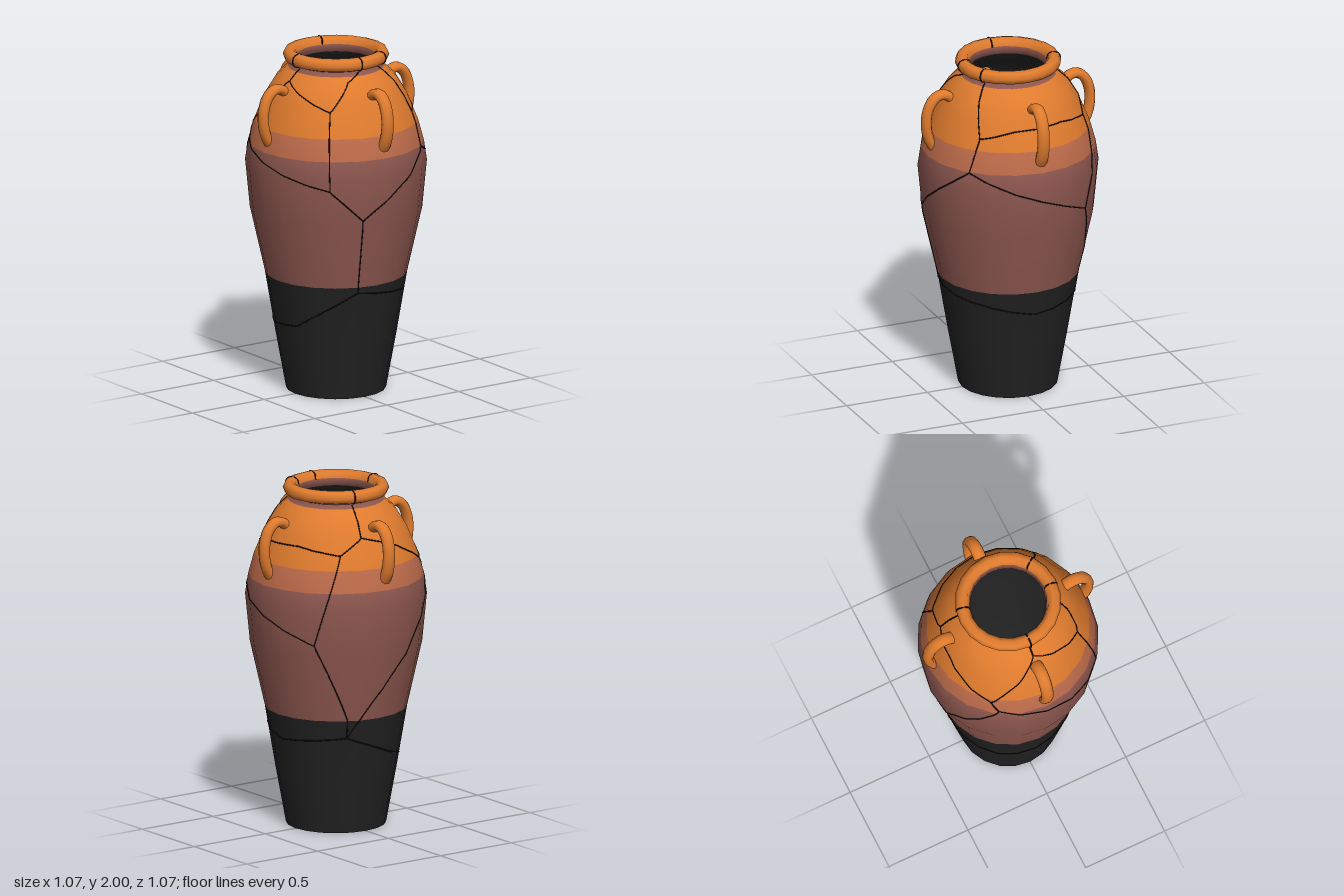
import * as THREE from 'three';

const SIDES = 20;
const mat = (name, color, side = THREE.FrontSide) => {
  const m = new THREE.MeshStandardMaterial({ color, side });
  m.name = name;
  return m;
};

// Profile rows: radius, height, material of the band that starts at this row
// (0 black glaze, 1 plum clay, 2 rust band, 3 orange clay)
const OUTER = [
  [0.285, 0, 0], [0.345, 0.33, 0], [0.405, 0.685, 1], [0.49, 1.06, 1], [0.517, 1.34, 1],
  [0.5, 1.455, 2], [0.466, 1.58, 3], [0.4, 1.74, 3], [0.345, 1.83, 3], [0.275, 1.895, 1],
  [0.245, 1.915, 1],
];
const RIM = [
  [0.262, 1.922, 3], [0.29, 1.931, 3], [0.303, 1.96, 3], [0.29, 1.99, 3], [0.258, 2, 3],
  [0.232, 1.985, 3], [0.224, 1.955, 1],
];
const INNER = [
  [0.215, 1.915, 0], [0.3, 1.83, 0], [0.37, 1.73, 0], [0.45, 1.52, 0], [0.485, 1.34, 0],
  [0.46, 1.06, 0], [0.375, 0.685, 0], [0.255, 0.04, 0], [0, 0.04, 0],
];

// Single smooth lathe whose faces are regrouped band by band
function bodyGeometry() {
  const rows = [...OUTER, ...RIM, ...INNER];
  const n = rows.length;
  const geo = new THREE.LatheGeometry(rows.map(([r, y]) => new THREE.Vector2(r, y)), SIDES);
  const buckets = [[], [], [], []];
  for (let i = 0; i < SIDES; i++) {
    for (let j = 0; j < n - 1; j++) {
      const a = i * n + j, b = a + n;
      buckets[rows[j][2]].push(a, b, a + 1, b + 1, a + 1, b);
    }
  }
  geo.setIndex(buckets.flat());
  let start = 0;
  buckets.forEach((list, k) => {
    geo.addGroup(start, list.length, k);
    start += list.length;
  });
  return geo;
}

// Point on the faceted outer wall at an angle (degrees from the front) and height
function wallPoint(deg, y) {
  let k = 0;
  while (k < OUTER.length - 2 && OUTER[k + 1][1] < y) k++;
  const [r0, y0] = OUTER[k], [r1, y1] = OUTER[k + 1];
  const r = THREE.MathUtils.lerp(r0, r1, (y - y0) / (y1 - y0));
  return ringPoint(deg, r, y);
}

function ringPoint(deg, r, y) {
  const step = 360 / SIDES, rad = Math.PI / 180;
  const off = THREE.MathUtils.euclideanModulo(deg, step) - step / 2;
  const rr = r * Math.cos(step / 2 * rad) / Math.cos(off * rad);
  return new THREE.Vector3(rr * Math.sin(deg * rad), y, rr * Math.cos(deg * rad));
}

// Crack lines over the wall: angle and height at each corner
const CRACKS = [
  [[-5, 1.91], [-22, 1.87], [-40, 1.72], [-40, 1.57], [-39, 1.28], [-17, 1.1], [-17, 0.65]],
  [[-17, 0.65], [-73, 0.43], [-122, 0.4], [-160, 0.46], [-207, 0.58]],
  [[-17, 1.1], [40, 1.45], [129, 1.145], [153, 0.69], [153, 0.58]],
  [[-17, 0.65], [45, 0.6], [90, 0.54], [153, 0.58], [238, 1.47]],
  [[40, 1.45], [45, 1.64], [72, 1.69], [112, 1.7], [147, 1.66], [129, 1.145]],
  [[45, 1.64], [35, 1.91]],
  [[147, 1.66], [165, 1.75], [165, 1.91]],
  [[165, 1.75], [192, 1.7], [232, 1.55], [238, 1.47], [321, 1.28]],
  [[232, 1.55], [270, 1.85], [320, 1.72]],
  [[270, 1.85], [270, 1.91]],
];

function crackTube(points) {
  const curve = new THREE.CatmullRomCurve3(points);
  return new THREE.TubeGeometry(curve, points.length * 2, 0.0042, 4);
}

export function createModel() {
  const group = new THREE.Group();
  const black = mat('black glaze', 0x222222);
  const plum = mat('plum clay', 0x8f5850);
  const rust = mat('rust band', 0xbd6b4a);
  const orange = mat('orange clay', 0xdf7b2e);
  const crackMat = mat('crack', 0x17100e);
  const add = (geo, material, name, parent = group) => {
    const mesh = new THREE.Mesh(geo, material);
    mesh.name = name;
    parent.add(mesh);
    return mesh;
  };

  add(bodyGeometry(), [black, plum, rust, orange], 'jarBody');

  // Flat underside
  const base = add(new THREE.CircleGeometry(0.285, SIDES), black, 'base');
  base.rotation.x = Math.PI / 2;

  // Four loop handles on the shoulder, slightly wider than deep
  const path = new THREE.CatmullRomCurve3([
    [0.33, 1.76], [0.375, 1.805], [0.425, 1.815], [0.473, 1.78], [0.502, 1.71],
    [0.506, 1.63], [0.49, 1.555], [0.455, 1.49],
  ].map(([r, y]) => new THREE.Vector3(0, y, r)));
  const handleGeo = new THREE.TubeGeometry(path, 24, 0.03, 10);
  handleGeo.scale(1.25, 1, 1);
  ['front', 'left', 'back', 'right'].forEach((side, i) => {
    const handle = add(handleGeo, orange, side + 'Handle');
    handle.rotation.y = i * Math.PI / 2;
  });

  // Fine cracks following the wall
  const cracks = new THREE.Group();
  cracks.name = 'cracks';
  group.add(cracks);
  for (const line of CRACKS) {
    for (let i = 0; i < line.length - 1; i++) {
      const [a0, y0] = line[i], [a1, y1] = line[i + 1];
      const count = Math.max(6, Math.ceil(Math.abs(a1 - a0) / 3 + Math.abs(y1 - y0) / 0.05));
      const pts = [];
      for (let k = 0; k <= count; k++) {
        const t = k / count;
        pts.push(wallPoint(a0 + (a1 - a0) * t, y0 + (y1 - y0) * t));
      }
      add(crackTube(pts), crackMat, 'wallCrack', cracks);
    }
  }

  // Cracks wrapping over the rim
  for (const deg of [-5, 35, 165, 270]) {
    const pts = RIM.map(([r, y]) => ringPoint(deg, r, Math.min(y, 1.997)));
    add(crackTube(pts), crackMat, 'rimCrack', cracks);
  }
  return group;
}
